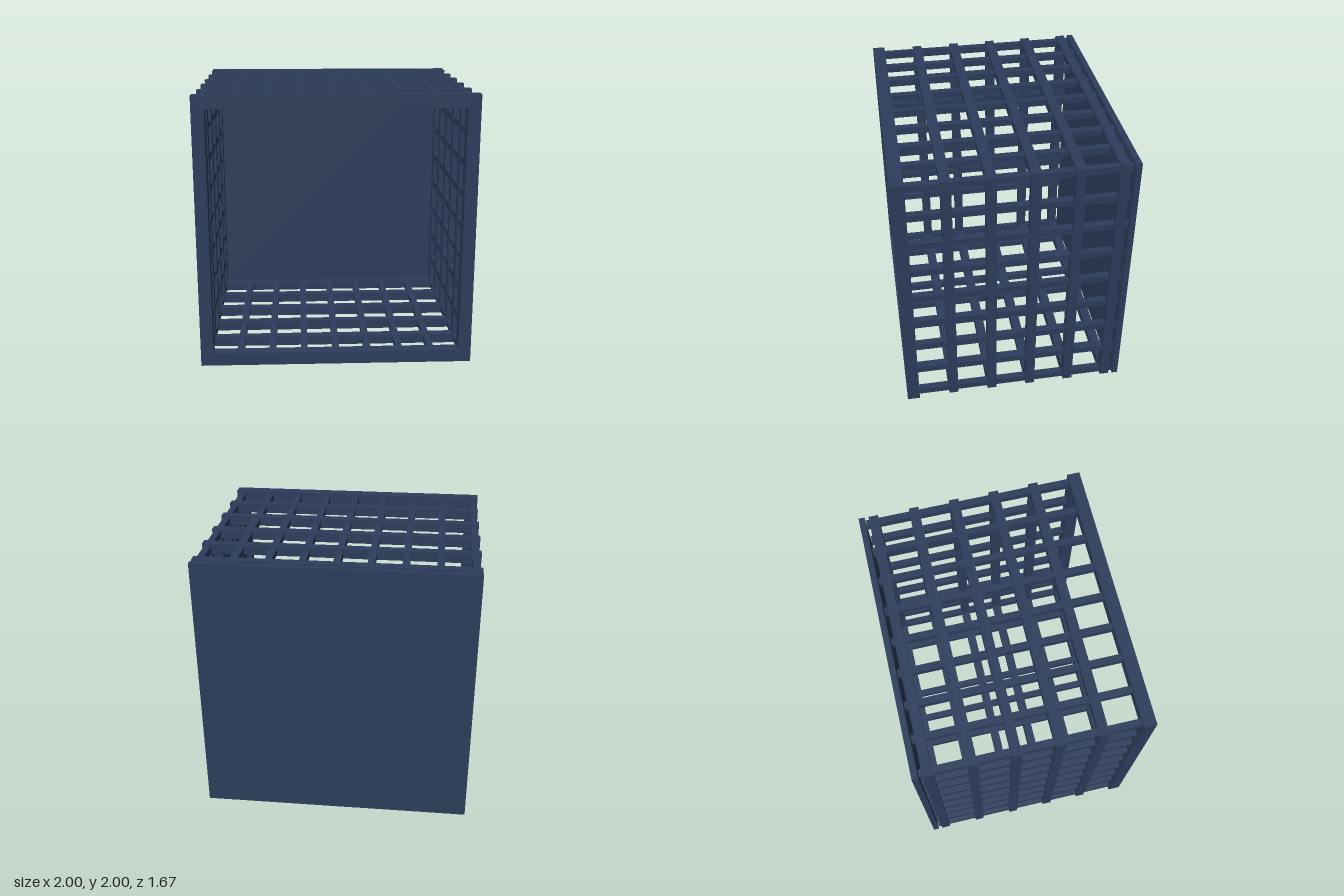
import * as THREE from 'three';

export function createModel() {
  const group = new THREE.Group();
  const material = new THREE.MeshStandardMaterial({ color: 0x2c3e5c });

  const add = (name, geometry, x, y, z) => {
    const mesh = new THREE.Mesh(geometry, material);
    mesh.name = name;
    mesh.position.set(x, y, z);
    group.add(mesh);
  };

  const square = (target, h) =>
    target.moveTo(-h, -h).lineTo(h, -h).lineTo(h, h).lineTo(-h, h).closePath();

  // Square hoop centred on its own z
  const hoop = (outer, inner, depth) => {
    const shape = square(new THREE.Shape(), outer);
    shape.holes.push(square(new THREE.Path(), inner));
    return new THREE.ExtrudeGeometry(shape, { depth, bevelEnabled: false }).translate(0, 0, -depth / 2);
  };

  // Heavy open frame at the front
  add('frontFrame', hoop(1, 0.907, 0.093), 0, 1, 0.787);

  // Five lighter hoops along the depth
  const ring = hoop(0.993, 0.922, 0.07);
  for (let i = 0; i < 5; i++) add('ringFrame', ring, 0, 1, 0.475 - i * 0.3);

  // Long rails through the hoops, nine per side with shared corners
  const zFront = 0.76, zBack = -0.783;
  const rail = new THREE.BoxGeometry(0.05, 0.05, zFront - zBack);
  const reach = 0.953, last = 8;
  for (let i = 0; i <= last; i++) {
    for (let j = 0; j <= last; j++) {
      if (i % last && j % last) continue;
      add('rail', rail, (i / 4 - 1) * reach, 1 + (j / 4 - 1) * reach, (zFront + zBack) / 2);
    }
  }

  // Solid back panel, just clear of the rail ends
  add('backPanel', new THREE.BoxGeometry(1.988, 1.988, 0.044), 0, 1, -0.811);

  return group;
}
